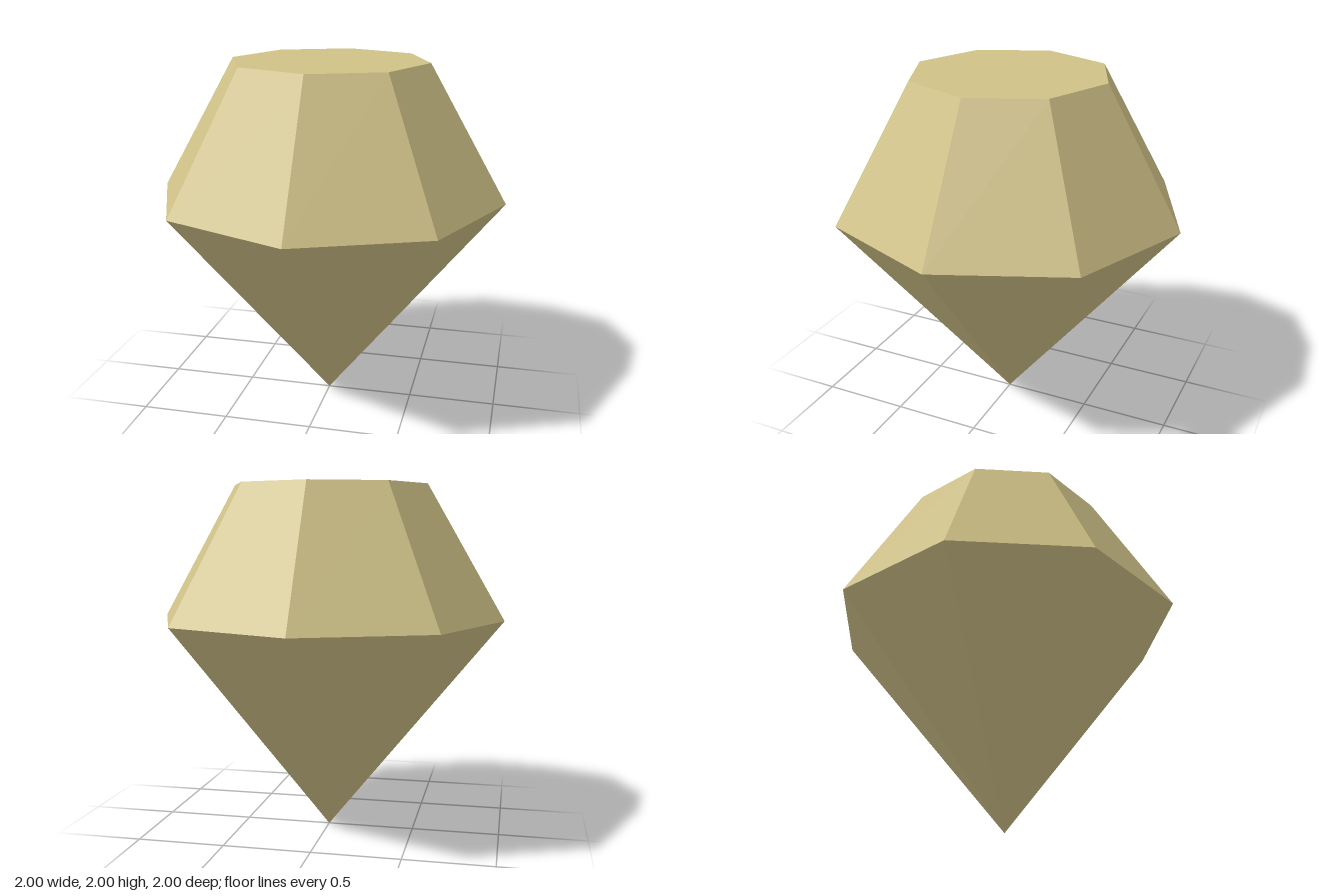
import * as THREE from 'three';

const SIDES = 8;
const GIRDLE_Y = 1.24;
const TABLE_R = 0.56;

export function createModel() {
  const gem = new THREE.Group();
  gem.name = 'gem';

  const gold = new THREE.MeshStandardMaterial({ color: 0xcfc187, flatShading: true });
  gold.name = 'pale gold';

  // Adds a ring of flat facets turned from a two-point profile
  const addFacets = (name, geometry) => {
    const mesh = new THREE.Mesh(geometry, gold);
    mesh.name = name;
    gem.add(mesh);
    return mesh;
  };

  // Lower point
  const pavilion = addFacets('pavilion', new THREE.ConeGeometry(1, GIRDLE_Y, SIDES, 1, true));
  pavilion.geometry.rotateX(Math.PI);
  pavilion.position.y = GIRDLE_Y / 2;

  // Sloping upper facets
  const crownHeight = 2 - GIRDLE_Y;
  const crown = addFacets('crown', new THREE.CylinderGeometry(TABLE_R, 1, crownHeight, SIDES, 1, true));
  crown.position.y = GIRDLE_Y + crownHeight / 2;

  // Flat top
  const table = addFacets('table', new THREE.CircleGeometry(TABLE_R, SIDES));
  table.geometry.rotateX(-Math.PI / 2);
  table.position.y = 2;

  return gem;
}
